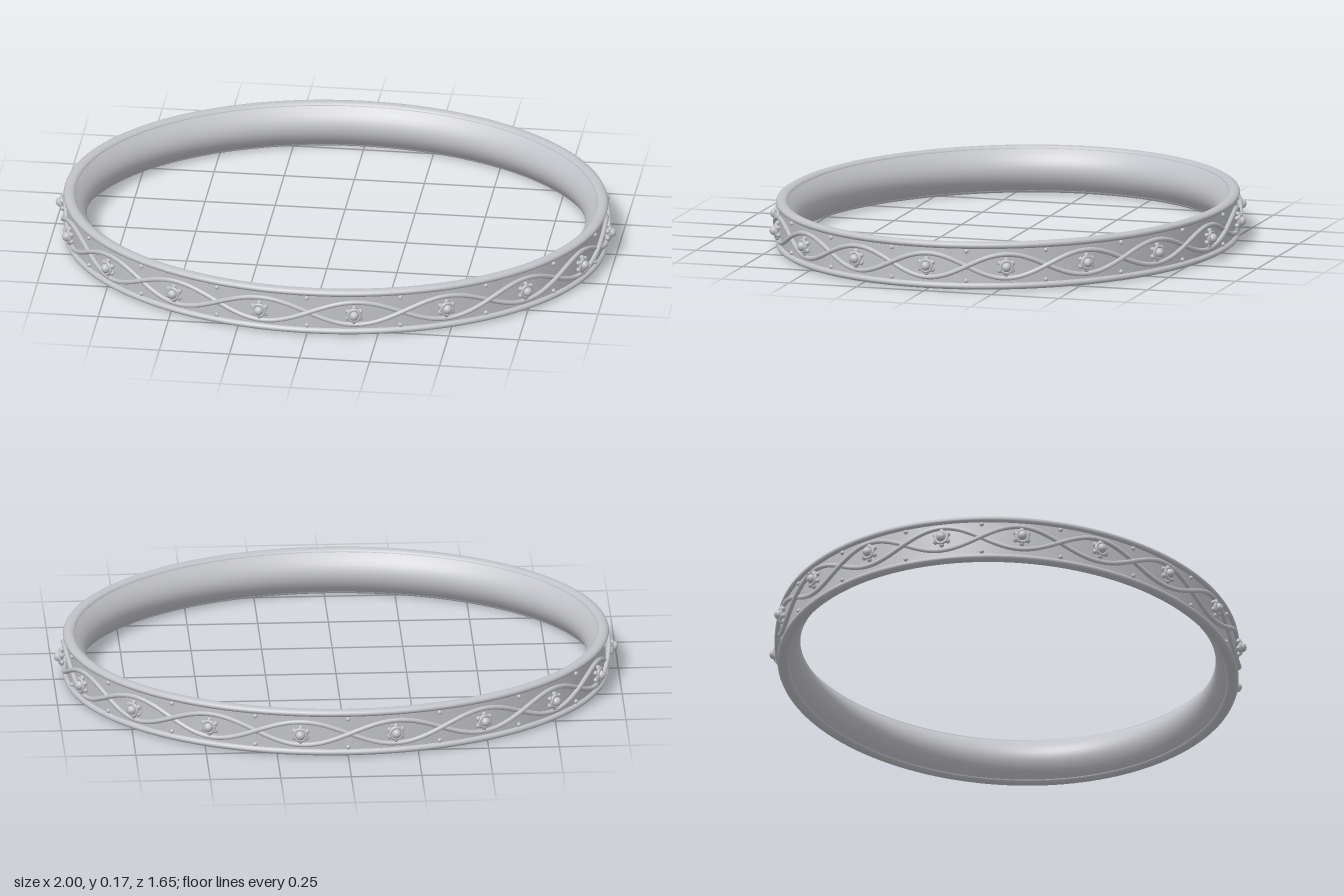
import * as THREE from 'three';

const COUNT = 18;          // repeats of the ornament
const MID = 0.086;         // mid height of the band
const STEP = (Math.PI * 2) / COUNT;

// point on the oval: angle, outward offset, height
const onOval = (t, d, y) =>
  new THREE.Vector3((0.96 + d) * Math.cos(t), y, (0.8 + d) * Math.sin(t));

// sweep a profile of [offset, height] points around the oval
function sweep(profile, closed = false, segs = 144) {
  const pos = [], idx = [], n = profile.length;
  for (let i = 0; i < segs; i++)
    for (const [d, y] of profile) pos.push(...onOval((i / segs) * Math.PI * 2, d, y));
  for (let i = 0; i < segs; i++)
    for (let j = 0; j < (closed ? n : n - 1); j++) {
      const k = (j + 1) % n, e = ((i + 1) % segs) * n;
      const a = i * n + j, b = i * n + k, c = e + j, f = e + k;
      idx.push(a, b, c, b, f, c);
    }
  const g = new THREE.BufferGeometry();
  g.setAttribute('position', new THREE.Float32BufferAttribute(pos, 3));
  g.setIndex(idx);
  g.computeVertexNormals();
  return g;
}

// strand that waves up and down and weaves over its partner
class StrandCurve extends THREE.Curve {
  constructor(sign) {
    super();
    this.sign = sign;
  }
  getPoint(u, target = new THREE.Vector3()) {
    const t = u * Math.PI * 2, w = (t * COUNT) / 2;
    const d = 0.003 + 0.005 * this.sign * Math.sin(w);
    return target.copy(onOval(t, d, MID + 0.043 * this.sign * Math.cos(w)));
  }
}

export function createModel() {
  const model = new THREE.Group();
  const silver = new THREE.MeshStandardMaterial({ color: 0xc2c3c8 });
  silver.name = 'silver';
  const add = (name, geometry, parent = model) => {
    const mesh = new THREE.Mesh(geometry, silver);
    mesh.name = name;
    parent.add(mesh);
    return mesh;
  };

  // band: flat outer wall and domed inner wall
  add('outerWall', sweep([[-0.006, 0.012], [-0.006, 0.16]]));
  const inner = [];
  for (let i = 0; i <= 12; i++) {
    const v = 1 - i / 6;
    inner.push([-0.033 - 0.043 * (1 - v * v), MID + 0.077 * v]);
  }
  add('innerWall', sweep(inner));

  // rounded rims along both edges
  for (const [name, y] of [['topRim', 0.159], ['bottomRim', 0.013]]) {
    const ring = [];
    for (let i = 0; i < 12; i++) {
      const a = (i / 12) * Math.PI * 2;
      ring.push([-0.015 + 0.021 * Math.cos(a), y + 0.013 * Math.sin(a)]);
    }
    add(name, sweep(ring, true));
  }

  // two interlaced strands
  for (const sign of [1, -1])
    add(sign > 0 ? 'firstStrand' : 'secondStrand',
      new THREE.TubeGeometry(new StrandCurve(sign), 360, 0.0085, 8, true));

  // beaded rosettes inside the loops, small beads beside the crossings
  const gem = new THREE.SphereGeometry(0.017, 14, 10);
  const collar = new THREE.TorusGeometry(0.021, 0.006, 8, 20);
  const petal = new THREE.SphereGeometry(0.009, 8, 6);
  const bead = new THREE.SphereGeometry(0.008, 10, 8);
  for (let i = 0; i < COUNT; i++) {
    const t = i * STEP;
    const rosette = new THREE.Group();
    rosette.name = 'rosette';
    rosette.position.copy(onOval(t, 0.012, MID));
    rosette.rotation.y = Math.atan2(Math.cos(t) / 0.96, Math.sin(t) / 0.8);
    model.add(rosette);
    add('gem', gem, rosette).position.z = 0.011;
    add('collar', collar, rosette).position.z = 0.006;
    for (let k = 0; k < 6; k++) {
      const a = (k / 6) * Math.PI * 2 + Math.PI / 6;
      add('petal', petal, rosette).position.set(0.026 * Math.cos(a), 0.026 * Math.sin(a), 0);
    }
    for (const s of [1, -1])
      add('bead', bead).position.copy(onOval(t + STEP / 2, -0.004, MID + 0.053 * s));
  }
  return model;
}
